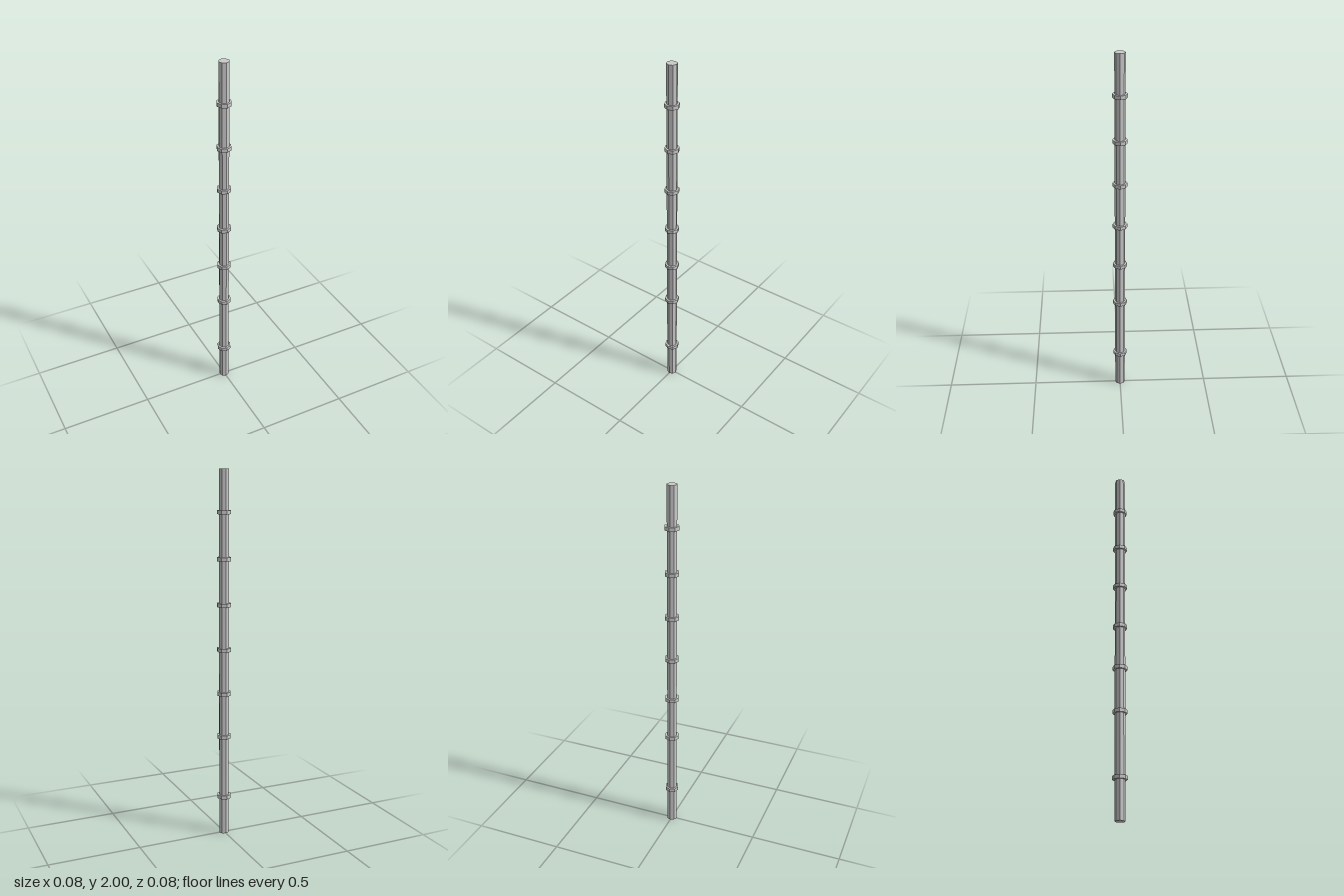
import * as THREE from 'three';

const SIDES = 8;

export function createModel() {
  const group = new THREE.Group();
  const material = new THREE.MeshStandardMaterial({ color: 0xcccccc, flatShading: true });

  // Upright eight-sided prism centred on the axis
  function prism(name, radius, height, y) {
    const mesh = new THREE.Mesh(new THREE.CylinderGeometry(radius, radius, height, SIDES), material);
    mesh.name = name;
    mesh.position.y = y;
    group.add(mesh);
  }

  // Long straight shaft
  prism('pole', 0.028, 2, 1);

  // One low collar, then six evenly spaced ones
  prism('lowerCollar', 0.039, 0.02, 0.217);
  for (let i = 0; i < 6; i++) prism(`collar${i + 1}`, 0.039, 0.02, 0.566 + i * 0.243);

  return group;
}
